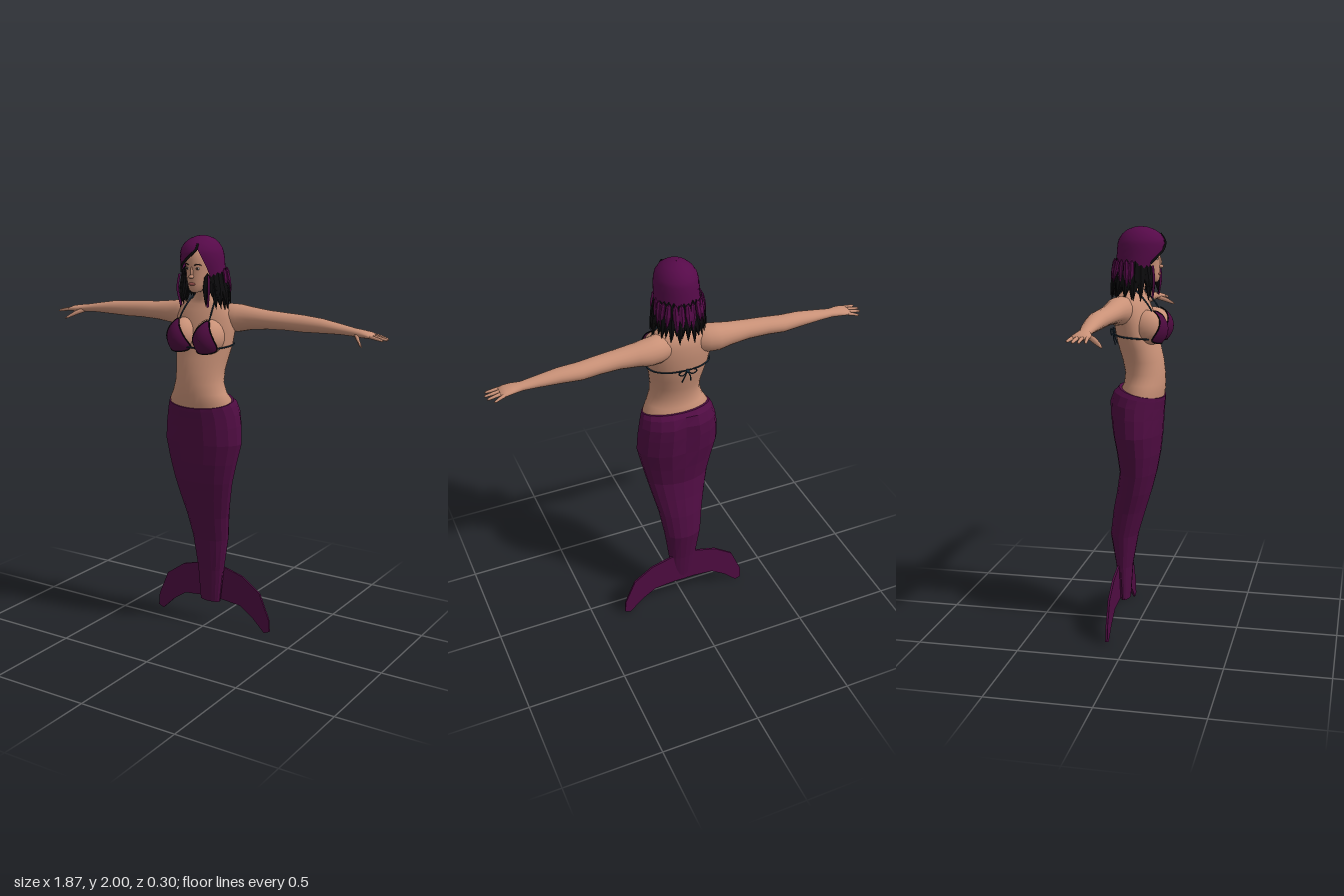
import * as THREE from 'three';
import { mergeGeometries } from 'three/addons/utils/BufferGeometryUtils.js';

const V = (x, y, z) => new THREE.Vector3(x, y, z);
const paint = (name, color, side = THREE.FrontSide) => {
  const m = new THREE.MeshStandardMaterial({ color, side });
  m.name = name;
  return m;
};

// Skin a list of rings (arrays of points); closed rings may get end caps
function loft(rings, { closed = true, caps = true } = {}) {
  const n = rings[0].length, pos = [], index = [];
  rings.forEach(r => r.forEach(p => pos.push(p.x, p.y, p.z)));
  for (let i = 0; i < rings.length - 1; i++)
    for (let j = 0; j < (closed ? n : n - 1); j++) {
      const k = (j + 1) % n, a = i * n, b = a + n;
      index.push(a + j, a + k, b + k, a + j, b + k, b + j);
    }
  if (closed && caps)
    [0, rings.length - 1].forEach(i => {
      const c = rings[i].reduce((s, p) => s.add(p), V(0, 0, 0)).divideScalar(n);
      const ci = pos.length / 3;
      pos.push(c.x, c.y, c.z);
      for (let j = 0; j < n; j++) {
        const k = (j + 1) % n;
        if (i === 0) index.push(ci, k, j);
        else index.push(ci, i * n + j, i * n + k);
      }
    });
  const g = new THREE.BufferGeometry();
  g.setAttribute('position', new THREE.Float32BufferAttribute(pos, 3));
  g.setIndex(index);
  g.computeVertexNormals();
  return g;
}

// Horizontal ellipse between front zf and back zb; lift raises the back, dent hollows it
function ringY([y, hw, zf, zb, lift = 0, dent = 0], n, t0 = 0, t1 = Math.PI * 2, open = false) {
  const zc = (zf + zb) / 2, rz = (zf - zb) / 2;
  return Array.from({ length: open ? n + 1 : n }, (_, j) => {
    const t = t0 + (t1 - t0) * j / n, c = Math.cos(t), x = hw * Math.sin(t);
    const hollow = c < 0 ? dent * Math.exp(-((x / 0.04) ** 2)) : 0;
    return V(x, y + lift * (1 - c) / 2, zc + rz * c + hollow);
  });
}

// Upright ellipse across x
const ringX = ([x, y, hy, z, hz], n) => Array.from({ length: n }, (_, j) => {
  const t = j / n * Math.PI * 2;
  return V(x, y + hy * Math.cos(t), z + hz * Math.sin(t));
});

function mirrored(geo) {
  const g = geo.clone().scale(-1, 1, 1), ix = g.index.array;
  for (let i = 0; i < ix.length; i += 3) [ix[i], ix[i + 1]] = [ix[i + 1], ix[i]];
  return g;
}

const ball = (x, y, z, rx, ry, rz) =>
  new THREE.SphereGeometry(1, 20, 14).scale(rx, ry, rz).translate(x, y, z);
const tube = (pts, r) =>
  new THREE.TubeGeometry(new THREE.CatmullRomCurve3(pts.map(p => p.isVector3 ? p : V(...p))), 24, r, 6);
const flat = geo => {
  const g = geo.toNonIndexed();
  g.computeVertexNormals();
  return g;
};

export function createModel() {
  const model = new THREE.Group();
  const skin = paint('skin', 0xc99177), tailPurple = paint('tail purple', 0x4f0c42);
  const hairPurple = paint('hair purple', 0x560a49, THREE.DoubleSide);
  const black = paint('black hair', 0x0c0b0d, THREE.DoubleSide);
  const cupPurple = paint('top purple', 0x4c0a3e, THREE.DoubleSide);
  const cord = paint('cord blue', 0x1b2c3a), lip = paint('lips', 0xa85a55);
  const white = paint('eye white', 0xd8d0c8), dark = paint('eye dark', 0x2a1d18);
  const add = (name, geo, mat) => {
    const m = new THREE.Mesh(geo, mat);
    m.name = name;
    model.add(m);
  };
  const pair = (name, geo, mat) => {
    add(name + 'Left', geo, mat);
    add(name + 'Right', mirrored(geo), mat);
  };

  // Faceted tail
  add('tail', flat(loft([
    [0.125, 0.058, -0.05, -0.1], [0.3, 0.075, -0.038, -0.12], [0.47, 0.098, -0.008, -0.148],
    [0.6, 0.117, 0.03, -0.132], [0.7, 0.14, 0.06, -0.112], [0.8, 0.163, 0.085, -0.097],
    [0.9, 0.187, 0.103, -0.11], [1.0, 0.21, 0.113, -0.128, 0, 0.01], [1.08, 0.204, 0.118, -0.14, 0.02, 0.018],
    [1.13, 0.195, 0.122, -0.143, 0.035, 0.018], [1.165, 0.183, 0.126, -0.125, 0.05, 0.01],
    [1.182, 0.174, 0.126, -0.1, 0.052],
  ].map(r => ringY(r, 18)))), tailPurple);

  // Fluke
  const side = [[0.07, 0.31], [0.18, 0.28], [0.28, 0.21], [0.335, 0.08], [0.34, 0.015], [0.31, 0.002],
    [0.24, 0.07], [0.165, 0.12], [0.06, 0.13]];
  const outline = [...side, ...side.map(([x, y]) => [-x, y]).reverse()].map(p => new THREE.Vector2(...p));
  add('fluke', new THREE.ExtrudeGeometry(new THREE.Shape(outline), { depth: 0.01, bevelEnabled: false })
    .translate(0, 0, -0.103), tailPurple);

  // Torso and neck
  add('torso', loft([
    [1.14, 0.17, 0.11, -0.1], [1.2, 0.166, 0.123, -0.09, 0.02], [1.25, 0.142, 0.127, -0.075],
    [1.3, 0.126, 0.125, -0.07], [1.36, 0.126, 0.118, -0.082], [1.42, 0.137, 0.104, -0.1],
    [1.48, 0.15, 0.086, -0.114], [1.55, 0.158, 0.074, -0.124], [1.61, 0.158, 0.055, -0.126],
    [1.65, 0.145, 0.038, -0.118], [1.675, 0.115, 0.025, -0.1], [1.695, 0.07, 0.02, -0.08],
    [1.72, 0.046, 0.025, -0.062], [1.76, 0.042, 0.03, -0.052], [1.81, 0.042, 0.035, -0.05],
  ].map(r => ringY(r, 32)), { caps: false }), skin);
  pair('bust', ball(0.072, 1.525, 0.05, 0.07, 0.085, 0.092), skin);

  // Arms, palms and fingers
  pair('arm', loft([
    [0.06, 1.61, 0.05, -0.06, 0.05], [0.12, 1.61, 0.068, -0.065, 0.066], [0.17, 1.61, 0.066, -0.075, 0.064],
    [0.23, 1.612, 0.055, -0.077, 0.056], [0.32, 1.612, 0.045, -0.077, 0.05], [0.42, 1.61, 0.041, -0.083, 0.047],
    [0.5, 1.606, 0.04, -0.09, 0.046], [0.6, 1.604, 0.034, -0.084, 0.041], [0.7, 1.597, 0.024, -0.08, 0.033],
    [0.77, 1.59, 0.019, -0.076, 0.026], [0.81, 1.587, 0.018, -0.072, 0.036], [0.845, 1.584, 0.015, -0.072, 0.042],
    [0.868, 1.58, 0.01, -0.072, 0.038],
  ].map(r => ringX(r, 20))), skin);
  [[-0.102, 0.906, -0.118], [-0.083, 0.93, -0.089], [-0.063, 0.936, -0.062], [-0.043, 0.926, -0.034]]
    .forEach(([z0, tip, z1], i) => pair('finger' + (i + 1), loft([
      [0.845, 1.583, 0.009, z0, 0.009], [(0.845 + tip) / 2, 1.577, 0.008, (z0 + z1) / 2, 0.008],
      [tip - 0.008, 1.571, 0.006, z1, 0.006], [tip, 1.569, 0.002, z1, 0.002],
    ].map(r => ringX(r, 8))), skin));
  pair('thumb', loft([
    [0.775, 1.582, 0.012, -0.065, 0.012], [0.805, 1.568, 0.012, -0.03, 0.014],
    [0.83, 1.55, 0.008, 0, 0.01], [0.845, 1.54, 0.003, 0.014, 0.004],
  ].map(r => ringX(r, 8))), skin);

  // Head and face
  add('head', loft([
    [1.737, 0.02, 0.085, 0.03], [1.75, 0.036, 0.095, 0.005], [1.775, 0.05, 0.097, -0.03],
    [1.81, 0.062, 0.098, -0.06], [1.85, 0.069, 0.098, -0.08], [1.89, 0.072, 0.102, -0.085],
    [1.935, 0.064, 0.088, -0.075], [1.97, 0.035, 0.045, -0.04],
  ].map(r => ringY(r, 28))), skin);
  add('nose', mergeGeometries([ball(0, 1.812, 0.1, 0.012, 0.009, 0.015), ball(0, 1.832, 0.096, 0.007, 0.026, 0.01)]), skin);
  add('lips', ball(0, 1.777, 0.096, 0.02, 0.007, 0.006), lip);
  pair('eye', ball(0.028, 1.85, 0.09, 0.012, 0.006, 0.0045), white);
  pair('iris', ball(0.028, 1.85, 0.093, 0.005, 0.0055, 0.003), dark);
  pair('brow', tube([[0.014, 1.865, 0.097], [0.03, 1.871, 0.094], [0.046, 1.866, 0.083]], 0.0025), dark);

  // Swept hair cap, open around the face; last two numbers are the opening's edges
  const hairRows = [
    [1.73, 0.112, 0.07, -0.125, -0.85, 0.85], [1.78, 0.108, 0.085, -0.118, -0.78, 0.8],
    [1.83, 0.106, 0.1, -0.114, -0.72, 0.72], [1.86, 0.105, 0.112, -0.113, -0.55, 0.68],
    [1.89, 0.104, 0.118, -0.112, -0.2, 0.6], [1.92, 0.1, 0.12, -0.108, 0.15, 0.5],
    [1.94, 0.094, 0.117, -0.102, 0.35, 0.42], [1.965, 0.078, 0.1, -0.085, 0.4, 0.4],
    [1.985, 0.055, 0.07, -0.06, 0.4, 0.4], [1.997, 0.025, 0.035, -0.025, 0.4, 0.4], [2, 0.002, 0.004, 0, 0.4, 0.4],
  ].map(([y, hw, zf, zb, a, b]) =>
    ringY([y, hw, zf, zb], 32, Math.asin(b), Math.PI * 2 + Math.asin(a), true));
  add('hairCap', loft(hairRows, { closed: false }), hairPurple);
  add('fringeStreak', tube(hairRows.slice(2, 8).map(r => r[r.length - 1]), 0.006), black);

  // Hanging locks: pointed spindles set around the head
  let seed = 7;
  const rand = () => (seed = (seed * 16807) % 2147483647) / 2147483647;
  const lock = (t, radius, top, bottom, r) => {
    const h = top - bottom;
    const pts = [[0, 0], [0.5, 0.2], [1, 0.5], [0.8, 0.85], [0, 1]].map(([x, y]) => new THREE.Vector2(x * r, (y - 1) * h));
    return flat(new THREE.LatheGeometry(pts, 6).scale(1, 1, 0.6).rotateX(-0.08 - rand() * 0.12)
      .rotateZ((rand() - 0.5) * 0.25).rotateY(t).translate(Math.sin(t) * radius, top, -0.015 + Math.cos(t) * radius));
  };
  const ring = (count, t0, make) => mergeGeometries(Array.from({ length: count }, (_, i) =>
    make(t0 + (2 * Math.PI - 2 * t0) * i / (count - 1))));
  add('blackLocks', mergeGeometries([
    ring(22, 0.72, t => lock(t, 0.097, 1.83 + rand() * 0.03, 1.635 + rand() * 0.04, 0.021)),
    ring(18, 0.9, t => lock(t, 0.108, 1.79, 1.67 + rand() * 0.04, 0.017)),
  ]), black);
  add('purpleLocks', ring(13, 1.6, t => lock(t, 0.108, 1.85, 1.69 + rand() * 0.05, 0.016)), hairPurple);
  pair('frontStreak', tube([[0.082, 1.82, 0.078], [0.088, 1.75, 0.085], [0.075, 1.67, 0.075]], 0.006), hairPurple);

  // Triangular cups wrapped over the bust
  const corners = [[0.01, 0.088], [-0.03, 0.045], [-0.062, -0.03], [-0.055, -0.055], [0, -0.068],
    [0.055, -0.055], [0.064, -0.025], [0.045, 0.04]].map(([x, y]) => V(x, y, 0));
  const rim = new THREE.CatmullRomCurve3(corners, true, 'centripetal').getPoints(32).slice(0, 32).reverse();
  const cup = loft([1, 0.85, 0.65, 0.45, 0.25, 0.02].map(k => rim.map(p => {
    const x = p.x * k, y = p.y * k;
    return V(0.074 + x, 1.52 + y, 0.05 + 0.102 * Math.sqrt(Math.max(0.04, 1 - (x / 0.076) ** 2 - (y / 0.094) ** 2)));
  }).reverse()), { caps: false });
  pair('cup', cup, cupPurple);
  pair('cupTrim', new THREE.TubeGeometry(new THREE.CatmullRomCurve3(
    rim.map(p => V(0.074 + p.x, 1.52 + p.y, 0.05 + 0.102 * Math.sqrt(Math.max(0.04, 1 - (p.x / 0.076) ** 2 - (p.y / 0.094) ** 2)))),
    true), 48, 0.003, 5, true), black);

  // Cords: neck straps, back band and tied bow
  pair('neckStrap', tube([[0.084, 1.605, 0.075], [0.08, 1.645, 0.048], [0.068, 1.695, 0.0], [0.045, 1.72, -0.045], [0, 1.725, -0.068]], 0.004), cord);
  pair('backBand', tube([[0.125, 1.475, 0.068], [0.15, 1.48, 0.02], [0.153, 1.483, -0.02], [0.137, 1.486, -0.066], [0.08, 1.49, -0.108], [0, 1.495, -0.126]], 0.004), cord);
  add('frontLink', tube([[-0.03, 1.475, 0.105], [0, 1.475, 0.1], [0.03, 1.475, 0.105]], 0.004), cord);
  add('knot', ball(0, 1.495, -0.13, 0.009, 0.009, 0.009), cord);
  pair('bowLoop', tube([[0, 1.495, -0.13], [0.025, 1.508, -0.14], [0.045, 1.49, -0.135], [0.025, 1.478, -0.135], [0, 1.495, -0.13]], 0.003), cord);
  pair('bowTail', tube([[0, 1.495, -0.13], [0.014, 1.465, -0.13], [0.022, 1.43, -0.118]], 0.003), cord);

  return model;
}
